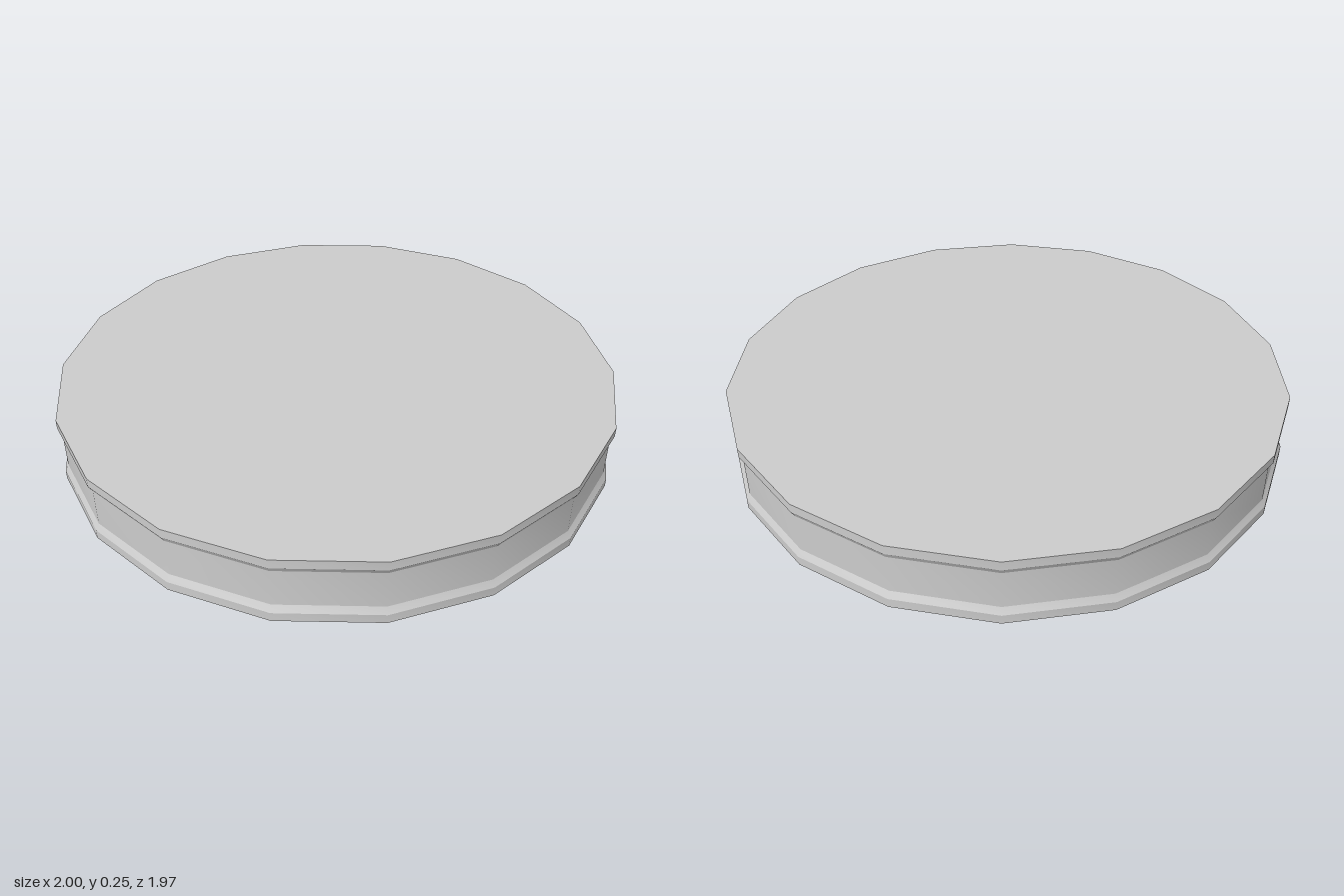
import * as THREE from 'three';
import { toCreasedNormals } from 'three/addons/utils/BufferGeometryUtils.js';

const SIDES = 18;
const HEIGHT = 0.25;
const RIM = 1;        // radius of the two raised rims
const GROOVE = 0.987; // radius of the recessed band

export function createModel() {
  const group = new THREE.Group();
  group.name = 'disc';

  // Lower half: bottom cap, rim, bevel, edge of the groove
  const lower = [[0, 0], [RIM, 0], [RIM, 0.033], [GROOVE, 0.056]];
  // Upper half mirrors it
  const upper = lower.map(([r, y]) => [r, HEIGHT - y]).reverse();
  const profile = [...lower, ...upper].map(([r, y]) => new THREE.Vector2(r, y));

  // Corners lie on the x axis, flats face front and back
  const lathe = new THREE.LatheGeometry(profile, SIDES, Math.PI / 2);
  const body = new THREE.Mesh(
    toCreasedNormals(lathe, 0.4),
    new THREE.MeshStandardMaterial({ color: 0xcccccc })
  );
  body.name = 'groovedDisc';
  group.add(body);
  return group;
}
